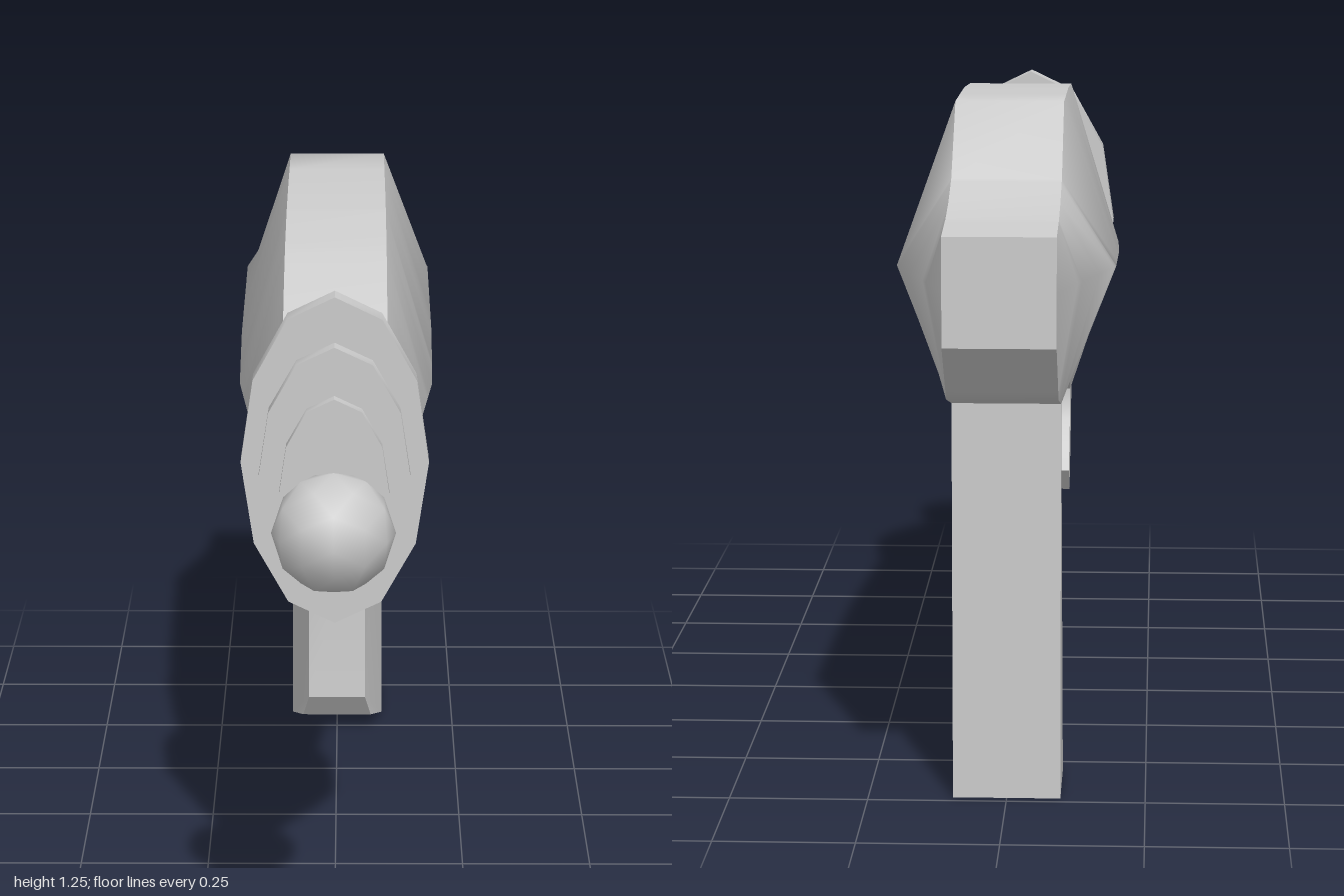
import * as THREE from 'three';
import { mergeGeometries, toCreasedNormals } from 'three/addons/utils/BufferGeometryUtils.js';

const HALF = 0.097;   // half width of the flat edges
const AXIS = 0.893;   // height of the barrel axis

// Piecewise linear lookup in a list of [z, value], z falling
function at(list, z) {
  for (let i = 1; i < list.length; i++) {
    const [z0, v0] = list[i - 1], [z1, v1] = list[i];
    if (z >= z1) return v0 + (v1 - v0) * Math.max(0, (z0 - z) / (z0 - z1));
  }
  return list[list.length - 1][1];
}

// Smooth sheet through rows of points
function sheet(rows) {
  const n = rows[0].length, index = [];
  for (let i = 0; i < rows.length - 1; i++)
    for (let j = 0; j < n - 1; j++) {
      const a = i * n + j, d = a + n;
      index.push(a, a + 1, d + 1, a, d + 1, d);
    }
  const geo = new THREE.BufferGeometry();
  geo.setAttribute('position', new THREE.Float32BufferAttribute(rows.flat(2), 3));
  geo.setIndex(index);
  geo.computeVertexNormals();
  return geo;
}

// Side profile of [z, y] points, extruded evenly to both sides of x = 0
function slab(points, width) {
  const shape = new THREE.Shape(points.map(p => new THREE.Vector2(...p)));
  return new THREE.ExtrudeGeometry(shape, { depth: width, bevelEnabled: false })
    .translate(0, 0, -width / 2).rotateY(-Math.PI / 2);
}

// Body: flat top and bottom strips, sides bulging out to a soft ridge
function bodyGeometry() {
  const top = [[0.43, 1.01], [0.33, 1.09], [0.2, 1.155], [0.07, 1.2], [-0.1, 1.23], [-0.3, 1.242],
    [-0.58, 1.245], [-0.71, 1.122], [-0.8, 1.09], [-0.88, 1.073], [-1, 1.06]];
  const bottom = [[0.43, 0.77], [0.33, 0.715], [0.2, 0.667], [0.1, 0.647], [0, 0.636], [-0.13, 0.64],
    [-0.165, 0.695], [-0.22, 0.723], [-0.36, 0.74], [-0.43, 0.725], [-0.73, 0.725], [-0.88, 0.76], [-1, 0.87]];
  const width = [[0.43, HALF], [0.33, 0.133], [0.2, 0.165], [0, 0.188], [-0.3, 0.193], [-0.72, 0.193],
    [-0.9, 0.13], [-1, HALF]];
  const ridge = [[0.43, 0.89], [0, 0.91], [-0.72, 0.97], [-1, 0.965]];

  const zs = [...new Set([...top, ...bottom, ...width].map(p => p[0]))].sort((a, b) => b - a);
  const rings = zs.map(z => {
    const t = at(top, z), b = at(bottom, z), w = at(width, z), r = at(ridge, z);
    return { LT: [-HALF, t, z], RT: [HALF, t, z], RM: [w, r, z], RB: [HALF, b, z], LB: [-HALF, b, z], LM: [-w, r, z] };
  });
  const strip = (...keys) => sheet(rings.map(ring => keys.map(k => ring[k])));
  const f = rings[0], e = rings[rings.length - 1];
  return mergeGeometries([
    strip('LT', 'RT'), strip('RT', 'RM', 'RB'), strip('RB', 'LB'), strip('LB', 'LM', 'LT'),
    sheet([[f.RT, f.LT], [f.RM, f.LM], [f.RB, f.LB]]),
    sheet([[e.LT, e.RT], [e.LM, e.RM], [e.LB, e.RB]]),
  ]);
}

// Grip: slab whose front edge is narrowed
function gripGeometry() {
  const geo = slab([[-0.43, 0.78], [-0.43, 0.725], [-0.455, 0.65], [-0.475, 0.57], [-0.435, 0.09], [-0.475, 0.035],
    [-0.57, 0.005], [-0.73, 0], [-0.73, 0.78]], 2 * HALF);
  const p = geo.attributes.position;
  for (let i = 0; i < p.count; i++) {
    if (p.getZ(i) < -0.5) continue;
    p.setX(i, Math.sign(p.getX(i)) * (p.getY(i) > 0.06 ? 0.06 : 0.073));
  }
  return toCreasedNormals(geo, 0.5);
}

export function createModel() {
  const model = new THREE.Group();
  const material = new THREE.MeshStandardMaterial({ color: 0xcccccc });
  const add = (name, geo) => {
    const mesh = new THREE.Mesh(geo, material);
    mesh.name = name;
    model.add(mesh);
    return mesh;
  };

  add('body', bodyGeometry());
  add('grip', gripGeometry());

  // Curved guard in front of the trigger
  add('triggerGuard', toCreasedNormals(slab([[0, 0.68], [-0.03, 0.636], [-0.05, 0.58], [-0.09, 0.52], [-0.13, 0.472],
    [-0.17, 0.45], [-0.21, 0.495], [-0.17, 0.535], [-0.138, 0.585], [-0.13, 0.64], [-0.14, 0.68]], 2 * HALF), 0.7));

  add('trigger', toCreasedNormals(slab([[-0.33, 0.77], [-0.335, 0.72], [-0.357, 0.64], [-0.335, 0.56], [-0.293, 0.51],
    [-0.3, 0.505], [-0.37, 0.565], [-0.4, 0.635], [-0.405, 0.77]], 0.06), 0.7));

  // Oval barrel rings: half width, half height, thickness, middle z
  [[0.172, 0.31, 0.05, 0.453], [0.137, 0.242, 0.035, 0.556], [0.098, 0.175, 0.024, 0.663]].forEach(([rx, ry, t, z], i) => {
    const geo = new THREE.CylinderGeometry(1, 1, t, 12).rotateX(Math.PI / 2);
    add('barrelRing' + (i + 1), toCreasedNormals(geo.scale(rx, ry, 1), 0.7)).position.set(0, AXIS, z);
  });

  const rod = new THREE.CylinderGeometry(0.04, 0.04, 0.42, 12).rotateX(Math.PI / 2);
  add('barrelRod', rod).position.set(0, AXIS, 0.62);

  add('muzzleBall', new THREE.IcosahedronGeometry(0.107, 1)).position.set(0, AXIS, 0.893);

  return model;
}
